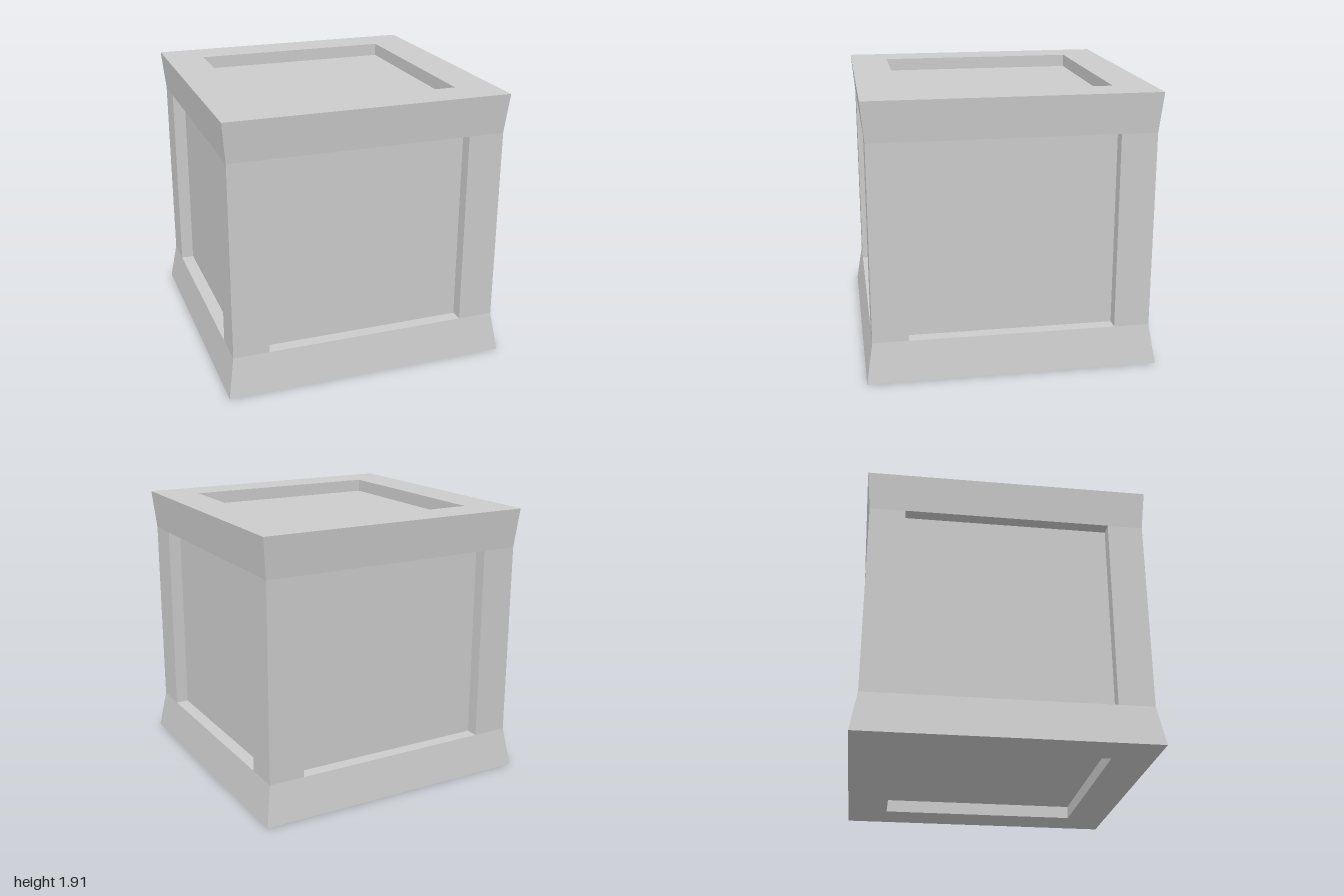
import * as THREE from 'three';

const HEIGHT = 1.915, BASE = 1.0, WAIST = 0.955, CROWN = 0.98;
const FOLD_LOW = 0.278, FOLD_HIGH = 1.641;
const PANEL_X = 0.704, PANEL_Z = 0.709, DEPTH = 0.09;

const material = new THREE.MeshStandardMaterial({ color: 0xcccccc, flatShading: true });

// Horizontal rectangle, counter-clockwise seen from above
const level = (hx, hz, y) => [[-hx, y, hz], [hx, y, hz], [hx, y, -hz], [-hx, y, -hz]];

// Upright rectangle facing +z, counter-clockwise seen from the front
const upright = (x0, x1, z) =>
  [[x0, FOLD_LOW, z], [x1, FOLD_LOW, z], [x1, FOLD_HIGH, z], [x0, FOLD_HIGH, z]];

// Four quads joining two rings of corners
const bridge = (a, b) => a.map((p, i) => {
  const j = (i + 1) % 4;
  return [p, a[j], b[j], b[i]];
});

function quadMesh(name, quads) {
  const points = quads.flatMap(([a, b, c, d]) => [a, b, c, a, c, d]).flat();
  const geometry = new THREE.BufferGeometry();
  geometry.setAttribute('position', new THREE.Float32BufferAttribute(points, 3));
  geometry.computeVertexNormals();
  const mesh = new THREE.Mesh(geometry, material);
  mesh.name = name;
  return mesh;
}

// Straight recess walls and the panel at their foot
const recess = (opening, floor) => [...bridge(opening, floor), floor];

export function createModel() {
  const crate = new THREE.Group();
  crate.name = 'crate';

  // Flared bands around the base and the crown
  const base = level(BASE, BASE, 0);
  const crown = level(CROWN, CROWN, HEIGHT);
  crate.add(quadMesh('lowerBand', bridge(base, level(WAIST, WAIST, FOLD_LOW))));
  crate.add(quadMesh('upperBand', bridge(level(WAIST, WAIST, FOLD_HIGH), crown)));

  // Four sides: corner posts either side of a recessed panel
  ['front', 'left', 'back', 'right'].forEach((side, i) => {
    const half = i % 2 ? PANEL_Z : PANEL_X;
    const group = new THREE.Group();
    group.name = side + 'Side';
    group.add(quadMesh('cornerPosts', [upright(-WAIST, -half, WAIST), upright(half, WAIST, WAIST)]));
    group.add(quadMesh('sidePanel', recess(upright(-half, half, WAIST), upright(-half, half, WAIST - DEPTH))));
    group.rotation.y = i * Math.PI / 2;
    crate.add(group);
  });

  // Lid and underside: flat rim around a recessed panel
  const lidOpening = level(PANEL_X, PANEL_Z, HEIGHT);
  crate.add(quadMesh('topRim', bridge(crown, lidOpening)));
  crate.add(quadMesh('topPanel', recess(lidOpening, level(PANEL_X, PANEL_Z, HEIGHT - DEPTH))));

  const underOpening = level(PANEL_X, PANEL_Z, 0).reverse();
  crate.add(quadMesh('bottomRim', bridge([...base].reverse(), underOpening)));
  crate.add(quadMesh('bottomPanel', recess(underOpening, level(PANEL_X, PANEL_Z, DEPTH).reverse())));

  return crate;
}
